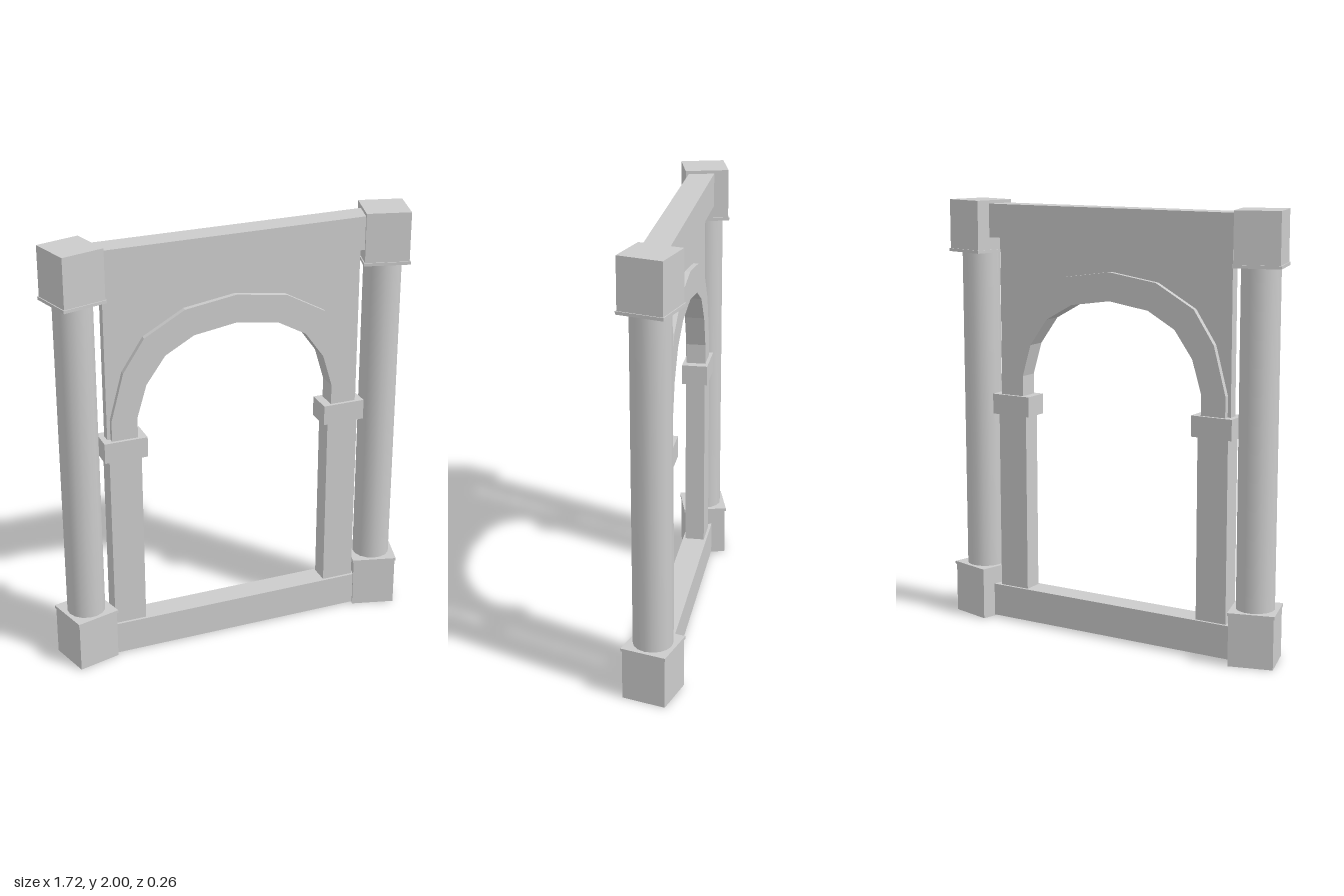
import * as THREE from 'three';

const grey = new THREE.MeshStandardMaterial({ color: 0xcccccc });
const flat = new THREE.MeshStandardMaterial({ color: 0xcccccc, flatShading: true });

function box(parent, name, w, y0, y1, d, x = 0) {
  const mesh = new THREE.Mesh(new THREE.BoxGeometry(w, y1 - y0, d), flat);
  mesh.position.set(x, (y0 + y1) / 2, 0);
  mesh.name = name;
  parent.add(mesh);
}

// Extrudes an outline, centred on z = 0
function slab(parent, name, points, depth) {
  const shape = new THREE.Shape(points.map(([x, y]) => new THREE.Vector2(x, y)));
  const geometry = new THREE.ExtrudeGeometry(shape, { depth, bevelEnabled: false });
  geometry.translate(0, 0, -depth / 2);
  const mesh = new THREE.Mesh(geometry, flat);
  mesh.name = name;
  parent.add(mesh);
}

// Completes a right half arch (springing to crown) with its mirror image
const fullArch = half => [
  ...half,
  ...half.slice(0, -1).reverse().map(([x, y]) => [-x, y]),
];

export function createModel() {
  const model = new THREE.Group();
  model.name = 'archway';

  // Lintel and sill
  box(model, 'lintel', 1.3, 1.83, 1.985, 0.117);
  box(model, 'sill', 1.3, 0.005, 0.16, 0.117);

  // Arch ring and the thin wall filling the space above it
  const outer = fullArch([[0.59, 1.08], [0.59, 1.19], [0.53, 1.41], [0.43, 1.56], [0.24, 1.665], [0, 1.7]]);
  const inner = fullArch([[0.47, 1.08], [0.47, 1.19], [0.425, 1.34], [0.335, 1.465], [0.2, 1.54], [0, 1.57]]);
  slab(model, 'archRing', [...outer, ...inner.slice().reverse()], 0.092);
  slab(model, 'spandrelWall', [[0.605, 1.08], [0.605, 1.85], [-0.605, 1.85], [-0.605, 1.08], ...outer.slice().reverse()], 0.044);

  for (const [side, label] of [[1, 'left'], [-1, 'right']]) {
    // Jamb and impost block below the arch
    box(model, label + 'Jamb', 0.15, 0.14, 1.02, 0.092, side * 0.53);
    box(model, label + 'Impost', 0.2, 1, 1.095, 0.122, side * 0.53);

    // Corner pillar, turned outwards
    const pillar = new THREE.Group();
    pillar.name = label + 'Pillar';
    pillar.position.x = side * 0.729;
    pillar.rotation.y = -side * Math.PI / 12;
    box(pillar, 'base', 0.2025, 0, 0.236, 0.2025);
    box(pillar, 'baseRim', 0.212, 0.232, 0.246, 0.212);
    box(pillar, 'capitalRim', 0.212, 1.758, 1.772, 0.212);
    box(pillar, 'capital', 0.2025, 1.768, 2, 0.2025);
    const shaft = new THREE.Mesh(new THREE.CylinderGeometry(0.088, 0.088, 1.52, 16), grey);
    shaft.position.y = 1.002;
    shaft.name = 'shaft';
    pillar.add(shaft);
    model.add(pillar);
  }
  return model;
}
